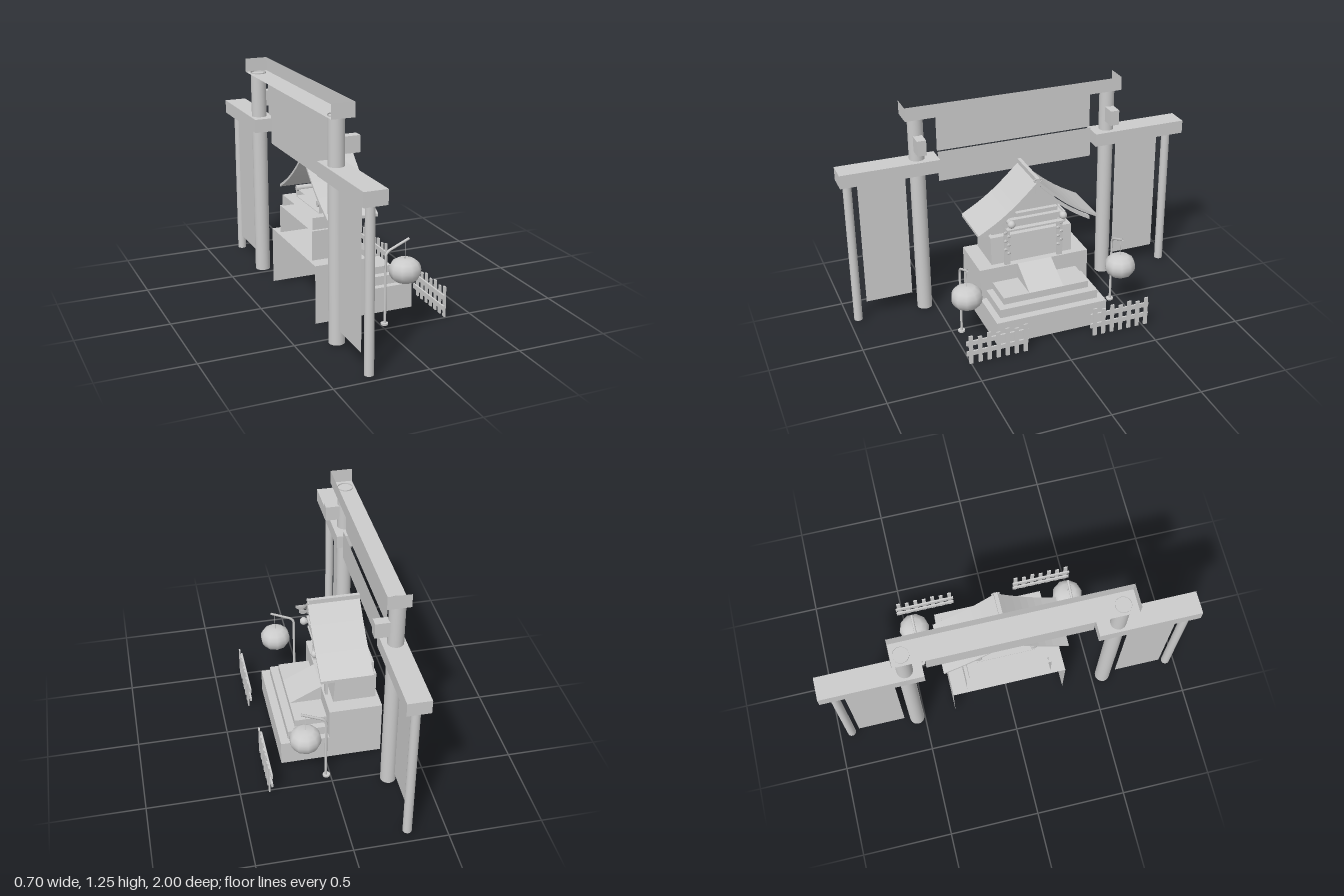
import * as THREE from 'three';

const mat = new THREE.MeshStandardMaterial({ color: 0xcccccc, side: THREE.DoubleSide });
const flat = new THREE.MeshStandardMaterial({ color: 0xcccccc, side: THREE.DoubleSide, flatShading: true });
// Box side numbers, in the order of BoxGeometry
const BACK = 1, TOP = 2, BOTTOM = 3;

export function createModel() {
  const root = new THREE.Group();
  root.name = 'shrine';

  const add = (parent, name, geo, x = 0, y = 0, z = 0, m = mat) => {
    const mesh = new THREE.Mesh(geo, m);
    mesh.name = name;
    mesh.position.set(x, y, z);
    parent.add(mesh);
    return mesh;
  };
  const group = (name) => {
    const g = new THREE.Group();
    g.name = name;
    root.add(g);
    return g;
  };
  // Box given by its limits, with some sides left open
  const box = (parent, name, x0, x1, y0, y1, z0, z1, open = []) => {
    const geo = new THREE.BoxGeometry(x1 - x0, y1 - y0, z1 - z0);
    const index = [...geo.index.array].filter((_, i) => !open.includes(Math.floor(i / 6)));
    geo.clearGroups();
    geo.setIndex(index);
    return add(parent, name, geo, (x0 + x1) / 2, (y0 + y1) / 2, (z0 + z1) / 2);
  };
  const post = (parent, name, r, y0, y1, x, z, sides = 16, open = true) =>
    add(parent, name, new THREE.CylinderGeometry(r, r, y1 - y0, sides, 1, open), x, (y0 + y1) / 2, z);
  // Upright panel facing +x
  const panel = (parent, name, x, y0, y1, z0, z1) => {
    const p = add(parent, name, new THREE.PlaneGeometry(z1 - z0, y1 - y0), x, (y0 + y1) / 2, (z0 + z1) / 2);
    p.rotation.y = Math.PI / 2;
  };

  // Gate behind the shrine
  const gate = group('gate');
  box(gate, 'topBeam', -0.352, -0.229, 1.175, 1.25, -0.6, 0.635, [BACK, TOP]);
  panel(gate, 'upperPanel', -0.28, 0.962, 1.165, -0.435, 0.457);
  panel(gate, 'lowerPanel', -0.265, 0.79, 0.962, -0.435, 0.457);
  for (const s of [1, -1]) {
    const shift = 0.01; // the uprights stand slightly towards +z
    const z = s * 0.555 + shift;
    post(gate, 'mainPillar', 0.042, 0.01, 1.182, -0.297, z, 20);
    post(gate, 'outerPost', 0.024, 0.01, 0.86, -0.297, s * 0.941 + shift);
    box(gate, 'sideBeam', -0.352, -0.229, 0.855, 0.93, Math.min(s, s * 0.455), Math.max(s, s * 0.455));
    const mid = s * 0.755 + shift - 0.003;
    panel(gate, 'sidePanel', -0.312, 0.1, 0.845, mid - 0.132, mid + 0.132);
    box(gate, 'pillarBlock', -0.26, -0.183, 0.99, 1.075, z - 0.025, z + 0.025);
  }

  // Stone base, steps and ramp, open behind and below
  const base = group('base');
  box(base, 'platform', -0.312, -0.022, 0.01, 0.33, -0.32, 0.32, [BACK, BOTTOM]);
  [[0.245, 0.01, 0.15, 0.32], [0.2, 0.15, 0.2, 0.285], [0.155, 0.2, 0.24, 0.248]].forEach(
    ([x, y0, y1, w]) => box(base, 'step', -0.022, x, y0, y1, -w, w, [BACK, BOTTOM]));
  const wedge = new THREE.Shape([[-0.022, 0.24], [0.155, 0.24], [-0.022, 0.33]].map((p) => new THREE.Vector2(...p)));
  add(base, 'ramp', new THREE.ExtrudeGeometry(wedge, { depth: 0.2, bevelEnabled: false }), 0, 0, -0.1);

  // Shrine house, its front wall leaning back
  const house = group('house');
  const lower = box(house, 'lowerBody', -0.295, -0.06, 0.33, 0.49, -0.238, 0.238, [BACK, BOTTOM]);
  const pos = lower.geometry.attributes.position;
  for (let i = 0; i < pos.count; i++) {
    if (pos.getY(i) > 0 && pos.getX(i) > 0) pos.setX(i, pos.getX(i) - 0.01);
  }
  lower.geometry.computeVertexNormals();
  box(house, 'upperBody', -0.285, -0.105, 0.49, 0.555, -0.22, 0.22, [BACK, BOTTOM]);
  box(house, 'eavesPlate', -0.225, 0, 0.548, 0.558, -0.165, 0.165);
  box(house, 'gableBase', -0.225, -0.03, 0.558, 0.6, -0.165, 0.165, [BACK]);
  box(house, 'tieBeam', -0.01, 0.015, 0.64, 0.662, -0.12, 0.12);
  box(house, 'crossBeam', -0.02, 0.005, 0.604, 0.62, -0.15, 0.15);
  const gable = new THREE.Shape([[-0.165, 0.6], [0.165, 0.6], [0.13, 0.69], [0, 0.805], [-0.13, 0.69]].map((p) => new THREE.Vector2(...p)));
  add(house, 'gableWall', new THREE.ShapeGeometry(gable), -0.06).rotation.y = Math.PI / 2;
  for (const s of [1, -1]) {
    // Carved column: a slim post with beads staggered along it
    box(house, 'column', -0.045, -0.031, 0.33, 0.6, s * 0.155 - 0.016, s * 0.155 + 0.016);
    for (let i = 0; i < 7; i++) {
      const bead = add(house, 'columnBead', new THREE.IcosahedronGeometry(0.012, 0), -0.032, 0.4 + i * 0.026,
        s * (0.155 + (i % 2 ? 0.009 : -0.009)), flat);
      bead.scale.x = 0.5;
    }
    const purlin = add(house, 'purlin', new THREE.CylinderGeometry(0.016, 0.016, 0.26, 10), -0.1, 0.605, s * 0.15);
    purlin.rotation.z = Math.PI / 2;
    add(house, 'purlinKnob', new THREE.SphereGeometry(0.022, 12, 8), 0.024, 0.605, s * 0.15);
  }

  // Curved roof: a side section extruded along x
  const roof = group('roof');
  const curve = new THREE.SplineCurve([[0, 0.838], [0.09, 0.752], [0.17, 0.684], [0.25, 0.628], [0.34, 0.576]]
    .map((p) => new THREE.Vector2(...p)));
  const roofSlab = (name, s, x0, x1, end, drop, thick) => {
    const pts = [];
    for (let i = 0; i <= 8; i++) pts.push(curve.getPoint(end * i / 8));
    const out = [...pts, ...pts.slice().reverse().map((p) => new THREE.Vector2(p.x, p.y - thick))]
      .map((p) => new THREE.Vector2(-s * p.x, p.y - drop));
    const geo = new THREE.ExtrudeGeometry(new THREE.Shape(out), { depth: x1 - x0, bevelEnabled: false });
    geo.rotateY(Math.PI / 2);
    return add(roof, name, geo, x0);
  };
  for (const s of [1, -1]) {
    const slope = roofSlab('roofSlope', s, -0.25, 0.033, 1, 0, 0.016);
    if (s < 0) slope.scale.z = 1.03;
    roofSlab('gableRafter', s, -0.005, 0.02, 0.9, 0.026, 0.02);
    const curl = add(roof, 'ridgeCurl', new THREE.TorusGeometry(0.008, 0.003, 6, 12), 0.03, 0.842, s * 0.014);
    curl.rotation.y = Math.PI / 2;
  }
  box(roof, 'ridge', -0.25, 0.033, 0.824, 0.854, -0.01, 0.01);
  box(roof, 'gablePendant', 0.02, 0.032, 0.765, 0.82, -0.012, 0.012);

  // Hanging lanterns on bent poles
  const v = (x, y) => new THREE.Vector3(x, y, 0);
  const pole = new THREE.CurvePath();
  pole.add(new THREE.LineCurve3(v(0.025, 0.005), v(0.025, 0.37)));
  pole.add(new THREE.QuadraticBezierCurve3(v(0.025, 0.37), v(0.025, 0.4), v(0.055, 0.413)));
  pole.add(new THREE.LineCurve3(v(0.055, 0.413), v(0.158, 0.458)));
  const profile = [[0, 0.223], [0.045, 0.226], [0.07, 0.243], [0.083, 0.266], [0.086, 0.287],
    [0.083, 0.308], [0.07, 0.331], [0.045, 0.347], [0, 0.35]].map((p) => new THREE.Vector2(...p));
  for (const z of [0.45, -0.45]) {
    const lamp = group('lantern');
    lamp.position.z = z;
    add(lamp, 'lanternPole', new THREE.TubeGeometry(pole, 48, 0.007, 8));
    post(lamp, 'lanternFoot', 0.02, 0, 0.01, 0.022, 0, 12, false);
    post(lamp, 'lanternString', 0.0015, 0.35, 0.448, 0.136, 0, 5);
    add(lamp, 'lanternBody', new THREE.LatheGeometry(profile, 10), 0.137);
  }

  // Low picket fences in front
  for (const z of [0.35, -0.36]) {
    const fence = group('fence');
    fence.position.z = z;
    for (const y of [0.052, 0.114]) box(fence, 'fenceRail', 0.327, 0.337, y, y + 0.026, -0.173, 0.173);
    for (let i = 0; i < 7; i++) {
      const c = (i - 3) * 0.051;
      box(fence, 'fencePicket', 0.341, 0.349, 0.01, i % 2 ? 0.168 : 0.18, c - 0.011, c + 0.011);
    }
  }
  return root;
}
